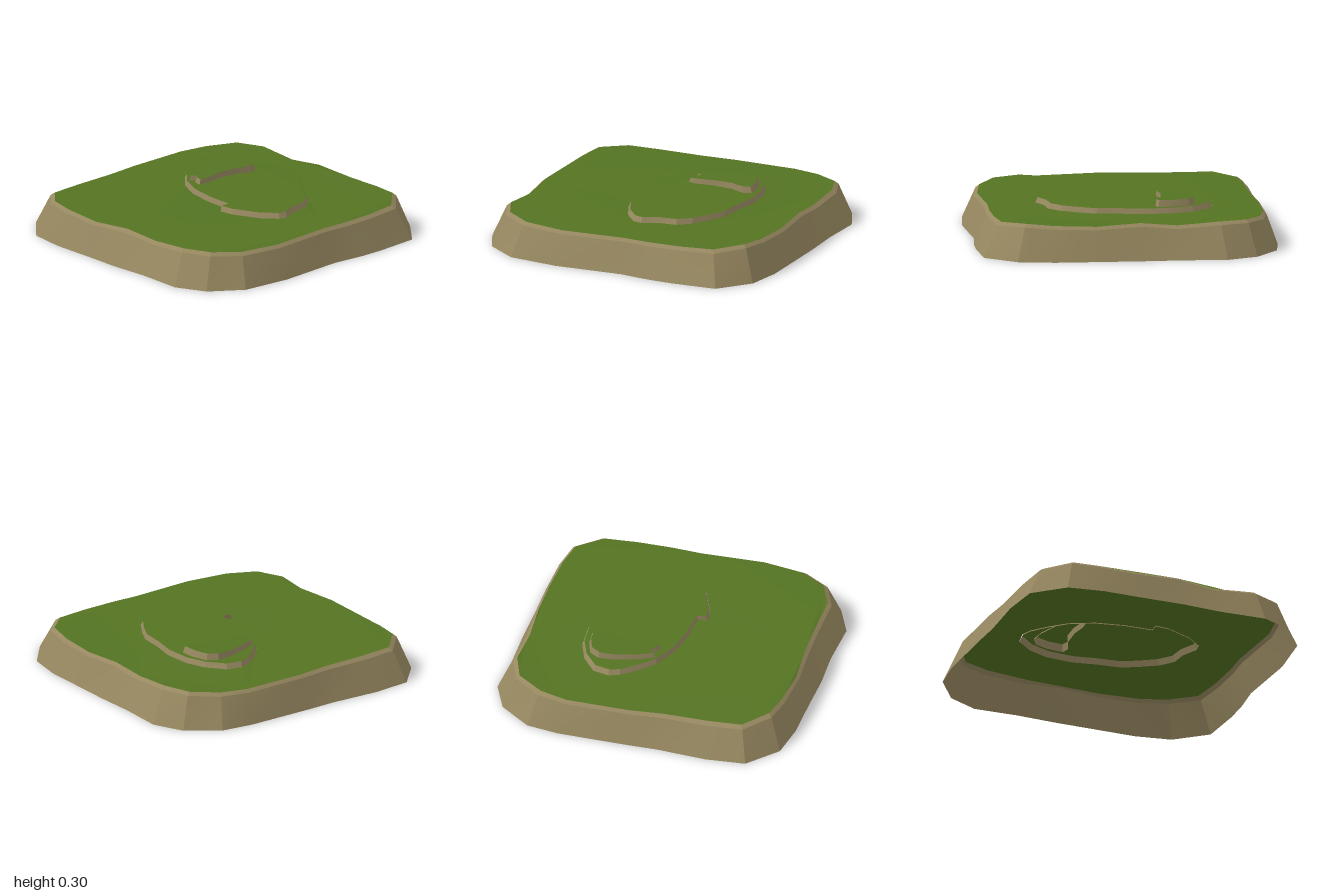
import * as THREE from 'three';
import { toCreasedNormals } from 'three/addons/utils/BufferGeometryUtils.js';

// Outlines run clockwise seen from above, as [x, z]
const baseOutline = [
  [-.62, -1], [-.32, -.99], [-.05, -1], [.22, -1], [.5, -1], [.74, -.96], [.945, -.79], [.97, -.49],
  [.97, -.32], [.95, -.11], [.985, .345], [.955, .68], [.81, .89], [.61, .985], [.295, .975], [.04, .99],
  [-.235, .985], [-.515, .985], [-.755, .95], [-.95, .775], [-.98, .515], [-.97, .185], [-.98, -.03],
  [-.99, -.48], [-.965, -.695], [-.82, -.905],
];
const rimOutline = [
  [-.575, -.88], [-.3, -.88], [-.06, -.895], [.225, -.91], [.495, -.9], [.675, -.865], [.825, -.715], [.855, -.5],
  [.865, -.27], [.86, -.08], [.89, .345], [.85, .62], [.745, .79], [.57, .87], [.295, .865], [.04, .88],
  [-.235, .9], [-.51, .885], [-.68, .855], [-.835, .715], [-.855, .5], [-.865, .195], [-.89, -.03],
  [-.9, -.45], [-.86, -.635], [-.755, -.81],
];
const terraceOutline = [
  [-.58, -.265], [-.56, -.37], [-.45, -.465], [-.315, -.52], [-.13, -.535], [.03, -.505], [.19, -.49],
  [.295, -.44], [.415, -.365], [.485, -.28], [.5, -.16], [.55, -.055], [.54, 0], [.44, .09], [.265, .17],
  [.17, .18], [.17, .115], [-.025, .11], [-.21, .075], [-.37, 0], [-.475, -.1], [-.555, -.195],
];
const knollOutline = [
  [-.46, -.37], [-.42, -.435], [-.325, -.47], [-.215, -.48], [-.2, -.425], [-.24, -.32], [-.25, -.185],
  [-.235, -.08], [-.24, -.01], [-.29, -.02], [-.32, -.05], [-.345, -.015], [-.395, -.105], [-.45, -.265],
];

// Height rules: gentle swell near the rim, flat terrace, tilted knoll
const groundY = (x, z) =>
  .222 + .012 * Math.cos(9.6 * x) * THREE.MathUtils.smoothstep(Math.max(Math.abs(x), Math.abs(z)), .6, .85);
const terraceY = () => .256;
const knollY = (x, z) => .286 - .028 * z;

const scaled = (pts, cx, cz, s) => pts.map(([x, z]) => [cx + (x - cx) * s, cz + (z - cz) * s]);
const raise = (pts, height) => pts.map(([x, z]) => [x, height(x, z), z]);

// Skin of a closed wall through rings of points, lowest first
function wall(rings) {
  const n = rings[0].length, index = [];
  for (let r = 0; r < rings.length - 1; r++) {
    for (let i = 0; i < n; i++) {
      const a = r * n + i, b = r * n + (i + 1) % n;
      index.push(a, a + n, b, b, a + n, b + n);
    }
  }
  const geo = new THREE.BufferGeometry();
  geo.setAttribute('position', new THREE.Float32BufferAttribute(rings.flat(2), 3));
  geo.setIndex(index);
  return toCreasedNormals(geo, .3);
}

// Flat surface inside an outline, lifted by a height rule
function surface(outline, height, hole) {
  const toPath = pts => pts.map(([x, z]) => new THREE.Vector2(x, -z));
  const shape = new THREE.Shape(toPath(outline));
  if (hole) shape.holes.push(new THREE.Path(toPath(hole)));
  const geo = new THREE.ShapeGeometry(shape).rotateX(-Math.PI / 2);
  const p = geo.attributes.position;
  for (let i = 0; i < p.count; i++) p.setY(i, height(p.getX(i), p.getZ(i)));
  geo.computeVertexNormals();
  return geo;
}

export function createModel() {
  const grass = new THREE.MeshStandardMaterial({ color: 0x547322, side: THREE.DoubleSide });
  grass.name = 'grass';
  const earth = new THREE.MeshStandardMaterial({ color: 0x978860, side: THREE.DoubleSide });
  earth.name = 'earth';

  const group = new THREE.Group();
  const add = (name, geo, mat) => {
    const mesh = new THREE.Mesh(geo, mat);
    mesh.name = name;
    group.add(mesh);
  };

  // Main mound: sloping bank, open underneath, rounded over just below the rim
  const shoulder = baseOutline.map(([x, z], i) => {
    const [rx, rz] = rimOutline[i];
    return [x + (rx - x) * .78, groundY(rx, rz) - .02, z + (rz - z) * .78];
  });
  add('bank', wall([raise(baseOutline, () => 0), shoulder, raise(rimOutline, groundY)]), earth);
  add('ground', surface(rimOutline, groundY, terraceOutline), grass);

  // Low terrace
  const terraceTop = scaled(terraceOutline, 0, -.18, .965);
  add('terraceBank', wall([raise(terraceOutline, () => .216), raise(terraceTop, terraceY)]), earth);
  add('terraceTop', surface(terraceTop, terraceY, knollOutline), grass);

  // Small knoll on the terrace
  const knollTop = scaled(knollOutline, -.33, -.25, .94);
  add('knollBank', wall([raise(knollOutline, () => .25), raise(knollTop, knollY)]), earth);
  add('knollTop', surface(knollTop, knollY), grass);

  return group;
}
